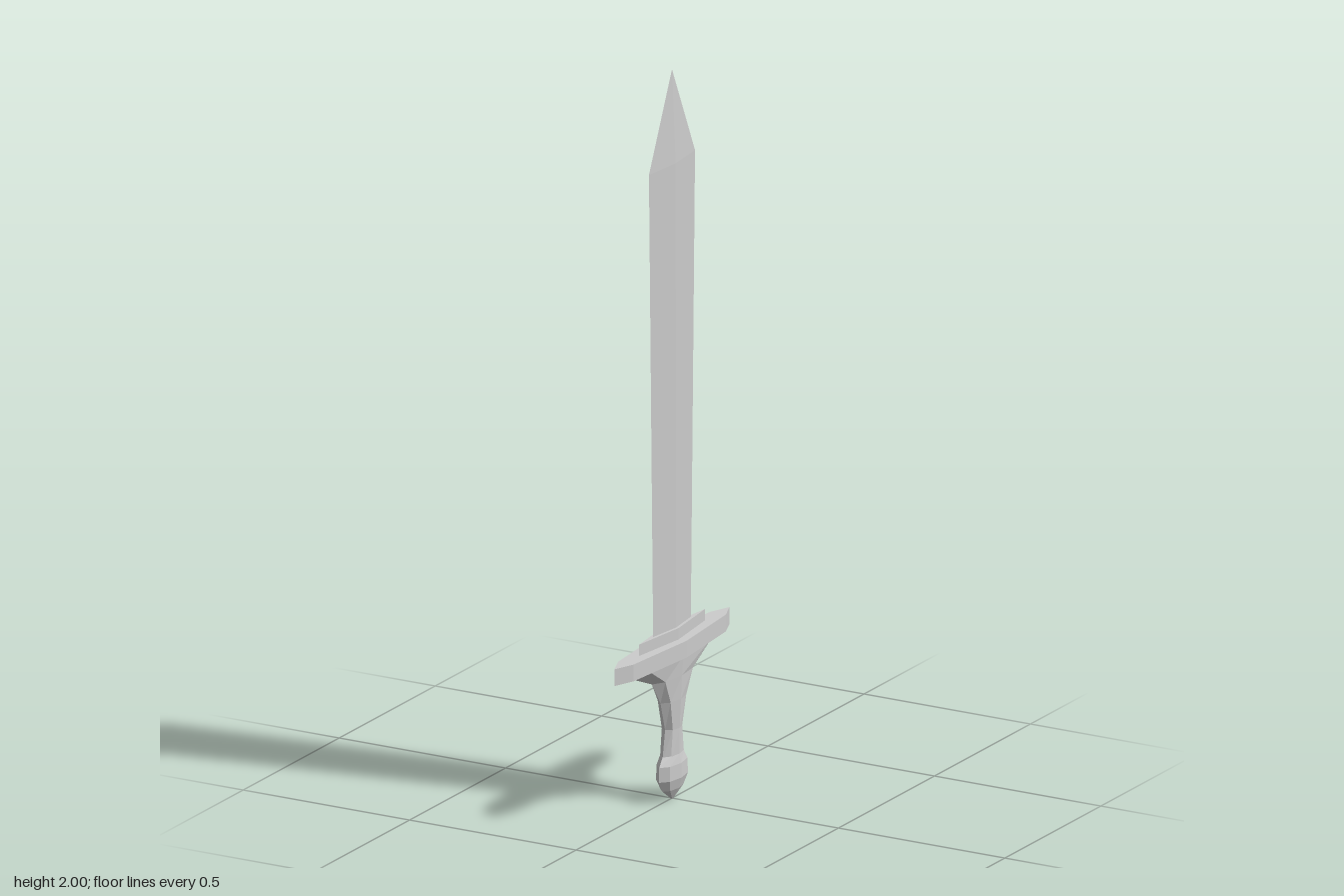
import * as THREE from 'three';

const steel = new THREE.MeshStandardMaterial({ color: 0xcccccc, flatShading: true });

// Outlines in the ground plane as [x, z] unit factors, mirrored from one quarter
const outline = (quarter) => {
  const [side, ...rest] = quarter;
  const tip = rest.pop();
  const flip = (sx, sz) => rest.map(([x, z]) => [x * sx, z * sz]);
  return [
    side, ...flip(1, 1), tip, ...flip(-1, 1).reverse(),
    [-side[0], 0], ...flip(-1, -1), [0, -tip[1]], ...flip(1, -1).reverse(),
  ];
};
const diamond = outline([[1, 0], [0, 1]]);
const guardShape = outline([[1, 0], [0.53, 0.8], [0, 1]]);
const gripShape = outline([[1, 0], [0.72, 0.68], [0, 1]]);

// Stack of scaled outlines [y, halfX, halfZ], from bottom to top, closed at both ends
function loft(name, shape, rings) {
  const n = shape.length, pos = [], idx = [];
  for (const [y, rx, rz] of rings) {
    for (const [x, z] of shape) pos.push(x * rx, y, z * rz);
  }
  for (let r = 0; r < rings.length - 1; r++) {
    for (let i = 0; i < n; i++) {
      const a = r * n + i, b = r * n + (i + 1) % n;
      idx.push(a, a + n, b, b, a + n, b + n);
    }
  }
  const top = (rings.length - 1) * n;
  for (let i = 1; i < n - 1; i++) {
    idx.push(0, i, i + 1, top, top + i + 1, top + i);
  }
  const geo = new THREE.BufferGeometry();
  geo.setAttribute('position', new THREE.Float32BufferAttribute(pos, 3));
  geo.setIndex(idx);
  geo.computeVertexNormals();
  const mesh = new THREE.Mesh(geo, steel);
  mesh.name = name;
  return mesh;
}

export function createModel() {
  const sword = new THREE.Group();
  sword.name = 'sword';

  // Widening blade that ends in a point
  sword.add(loft('blade', diamond, [
    [0.46, 0.012, 0.098], [1.745, 0.011, 0.12], [2, 0.0005, 0.0005],
  ]));

  // Thin plate where the blade meets the guard
  sword.add(loft('bladeCollar', diamond, [[0.43, 0.02, 0.172], [0.473, 0.02, 0.172]]));

  // Long crossguard with pointed ends
  sword.add(loft('crossguard', guardShape, [[0.396, 0.044, 0.3], [0.442, 0.044, 0.3]]));

  // Grip flaring into the guard
  sword.add(loft('grip', gripShape, [
    [0.12, 0.023, 0.05], [0.2, 0.023, 0.036], [0.28, 0.027, 0.06],
    [0.345, 0.03, 0.105], [0.398, 0.034, 0.232],
  ]));

  // Rounded pommel
  sword.add(loft('pommel', gripShape, [
    [0.004, 0.003, 0.005], [0.035, 0.02, 0.05], [0.065, 0.029, 0.069],
    [0.105, 0.028, 0.067], [0.13, 0.023, 0.048],
  ]));

  return sword;
}
